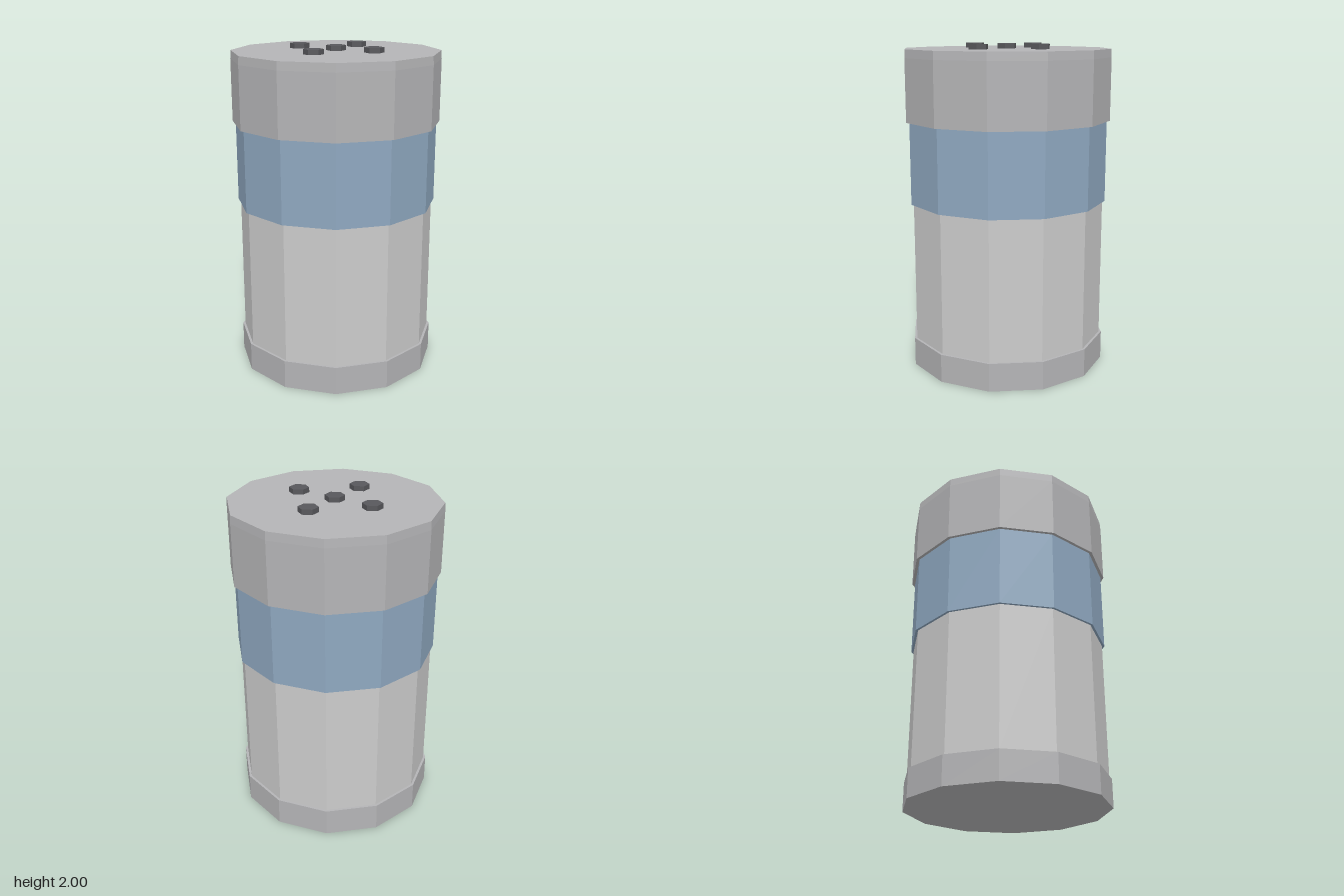
import * as THREE from 'three';

const SIDES = 12;

function prism(name, rTop, rBottom, y0, y1, sides, color, openEnded = false) {
  const geometry = new THREE.CylinderGeometry(rTop, rBottom, y1 - y0, sides, 1, openEnded);
  const material = new THREE.MeshStandardMaterial({ color, flatShading: true });
  const mesh = new THREE.Mesh(geometry, material);
  mesh.name = name;
  mesh.position.y = (y0 + y1) / 2;
  return mesh;
}

export function createModel() {
  const group = new THREE.Group();
  group.name = 'canister';

  // Stacked twelve-sided sections, bottom to top
  group.add(prism('baseRing', 0.618, 0.618, 0, 0.175, SIDES, 0xb4b4b6));
  group.add(prism('body', 0.603, 0.603, 0.175, 1.04, SIDES, 0xc8c8c4));
  group.add(prism('colourBand', 0.618, 0.618, 1.04, 1.54, SIDES, 0x8fa8c0));

  // Lid with a very slightly tapered rim
  const lid = new THREE.Group();
  lid.name = 'lid';
  lid.add(prism('lidWall', 0.637, 0.637, 1.54, 1.92, SIDES, 0xb4b4b6));
  lid.add(prism('lidRim', 0.634, 0.637, 1.92, 1.97, SIDES, 0xb4b4b6));
  group.add(lid);

  // Five hexagonal studs in a cross on the lid
  const d = 0.258;
  [[0, 0], [d, 0], [-d, 0], [0, d], [0, -d]].forEach(([x, z], i) => {
    const stud = prism(`stud${i + 1}`, 0.06, 0.06, 1.96, 2, 6, 0x58585c);
    stud.position.x = x;
    stud.position.z = z;
    group.add(stud);
  });

  return group;
}
